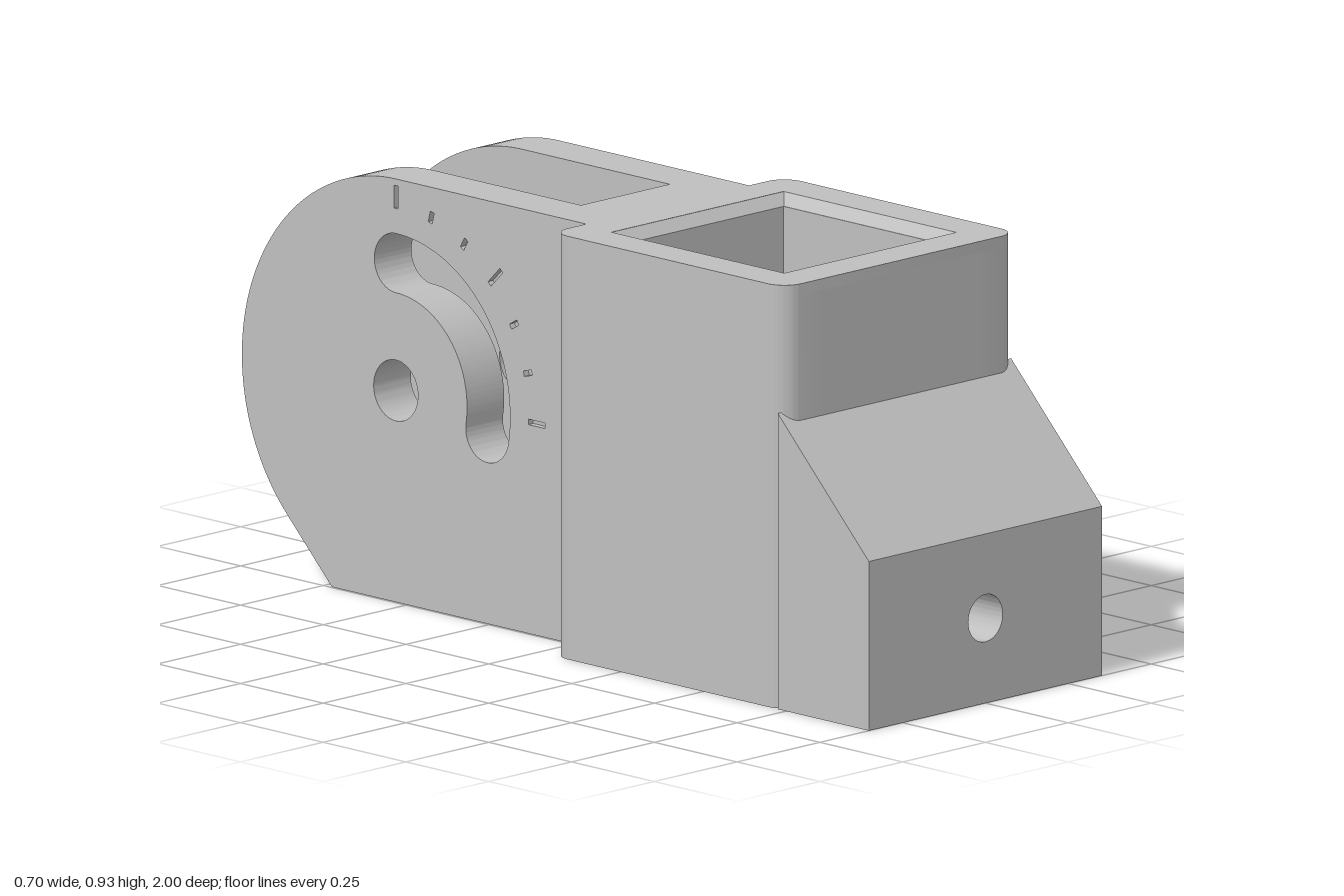
import * as THREE from 'three';
import { toCreasedNormals } from 'three/addons/utils/BufferGeometryUtils.js';

const HALF = 0.352, TOP = 0.93, LIP = 0.025;   // body half width, height, chamfer height
const PIVOT = { z: -0.535, y: 0.465, r: 0.465 };

const poly = (pts) => new THREE.Shape(pts.map(([a, b]) => new THREE.Vector2(a, b)));
const rect = (x0, y0, x1, y1) => poly([[x0, y0], [x1, y0], [x1, y1], [x0, y1]]);
const circle = (x, y, r) => new THREE.Path().absarc(x, y, r, 0, Math.PI * 2, true);

function extrude(shape, depth) {
  return new THREE.ExtrudeGeometry(shape, { depth, bevelEnabled: false, curveSegments: 32 });
}
// Profile in (x, y), from z0 to z1
const alongZ = (shape, z0, z1) => extrude(shape, z1 - z0).translate(0, 0, z0);
// Profile in (z, y), from x0 to x1
const alongX = (shape, x0, x1) => extrude(shape, x1 - x0).rotateY(-Math.PI / 2).translate(x1, 0, 0);
// Profile in (x, z), from y0 to y1
const alongY = (shape, y0, y1) => extrude(shape, y1 - y0).rotateX(Math.PI / 2).translate(0, y1, 0);

// Rounded outline of the socket; open leaves the middle of the front wall out
function socketOutline(open) {
  const z0 = 0.04, z1 = 0.745, r = 0.05, x = HALF, i = 0.237;
  const s = new THREE.Shape();
  s.moveTo(-x + r, z0);
  s.lineTo(x - r, z0);
  s.absarc(x - r, z0 + r, r, -Math.PI / 2, 0);
  s.lineTo(x, z1 - r);
  s.absarc(x - r, z1 - r, r, 0, Math.PI / 2);
  if (open) {
    s.lineTo(i, z1);
    s.lineTo(i, 0.153);
    s.lineTo(-i, 0.153);
    s.lineTo(-i, z1);
  }
  s.lineTo(-x + r, z1);
  s.absarc(-x + r, z1 - r, r, Math.PI / 2, Math.PI);
  s.lineTo(-x, z0 + r);
  s.absarc(-x + r, z0 + r, r, Math.PI, Math.PI * 1.5);
  return s;
}

// Side profile of one hinge plate, with pivot hole and curved slot
function plateProfile() {
  const { z, y, r } = PIVOT;
  const s = new THREE.Shape();
  s.moveTo(0.06, 0);
  s.lineTo(0.06, TOP);
  s.lineTo(z, TOP);
  s.absarc(z, y, r, Math.PI / 2, Math.PI * 1.25);
  s.lineTo(-0.728, 0);
  s.closePath();
  s.holes.push(circle(z, y, 0.067));

  const a0 = -0.165, a1 = Math.PI / 2, mid = 0.28, w = 0.065;
  const slot = new THREE.Path();
  slot.absarc(z, y, mid + w, a0, a1);
  slot.absarc(z + mid * Math.cos(a1), y + mid * Math.sin(a1), w, a1, a1 + Math.PI);
  slot.absarc(z, y, mid - w, a1, a0, true);
  slot.absarc(z + mid * Math.cos(a0), y + mid * Math.sin(a0), w, a0 + Math.PI, a0 + Math.PI * 2);
  s.holes.push(slot);
  return s;
}

// Engraved angle mark: long every 45 degrees, short in between
function angleMark(i) {
  const a = i * Math.PI / 12, c = Math.cos(a), n = Math.sin(a), w = 0.006;
  const r0 = 0.4, r1 = i % 3 ? 0.425 : 0.45;
  const at = (r, t) => [PIVOT.z + r * c - t * n, PIVOT.y + r * n + t * c];
  return poly([at(r0, -w), at(r1, -w), at(r1, w), at(r0, w)]);
}

export function createModel() {
  const model = new THREE.Group();
  const grey = new THREE.MeshStandardMaterial({ color: 0xbfbfbf });
  grey.name = 'grey';
  const greyInside = grey;
  const add = (name, geometry, parent = model) => {
    const mesh = new THREE.Mesh(toCreasedNormals(geometry, 0.5), greyInside);
    mesh.name = name;
    parent.add(mesh);
    return mesh;
  };

  // Square socket
  const socket = new THREE.Group();
  socket.name = 'socket';
  model.add(socket);
  add('socketWalls', alongY(socketOutline(true), LIP, TOP - LIP), socket);
  const frontWall = rect(-0.237, LIP, 0.237, TOP - LIP);
  frontWall.holes.push(circle(0, 0.187, 0.052));
  add('socketFrontWall', alongZ(frontWall, 0.63, 0.745), socket);

  // Rims with chamfered openings at both ends
  for (const [name, y0, y1] of [['bottomRim', 0, LIP], ['topRim', TOP - LIP, TOP]]) {
    const ring = socketOutline(false);
    ring.holes.push(rect(-0.26, 0.13, 0.26, 0.652));
    add(name, alongY(ring, y0, y1), socket);
    const wide = 0.26 * Math.SQRT2, narrow = 0.238 * Math.SQRT2, top = y0 > 0;
    const chamfer = new THREE.CylinderGeometry(top ? wide : narrow, top ? narrow : wide, LIP, 4, 1, true);
    chamfer.rotateY(Math.PI / 4).translate(0, (y0 + y1) / 2, 0.391);
    // Turn the faces inward
    const index = chamfer.index.array;
    for (let i = 0; i < index.length; i += 3) [index[i], index[i + 1]] = [index[i + 1], index[i]];
    chamfer.computeVertexNormals();
    add(name + 'Chamfer', chamfer, socket);
  }

  // Clamp block with bolt hole, nut pocket open to the left, and sloping top
  const block = new THREE.Group();
  block.name = 'clampBlock';
  model.add(block);
  const drilled = rect(-HALF, 0, HALF, 0.372);
  drilled.holes.push(circle(0, 0.187, 0.052));
  add('blockFront', alongZ(drilled, 0.9, 1), block);
  add('blockBack', alongZ(drilled, 0.725, 0.815), block);
  const pocketed = poly([[-HALF, 0], [HALF, 0], [HALF, 0.1], [-0.09, 0.1],
    [-0.09, 0.277], [HALF, 0.277], [HALF, 0.372], [-HALF, 0.372]]);
  add('nutPocket', alongZ(pocketed, 0.815, 0.9), block);
  add('blockSlope', alongX(poly([[0.725, 0.372], [1, 0.372], [0.725, 0.65]]), -HALF, HALF), block);

  // Hinge plates and the web joining them
  add('leftPlate', alongX(plateProfile(), 0.134, 0.246));
  add('rightPlate', alongX(plateProfile(), -0.231, -0.134));
  const marked = plateProfile();
  for (let i = 0; i <= 6; i++) marked.holes.push(angleMark(i));
  add('rightPlateMarkedFace', alongX(marked, -0.246, -0.231));
  add('web', alongX(rect(-0.088, 0, 0.06, TOP), -0.134, 0.134));

  return model;
}
